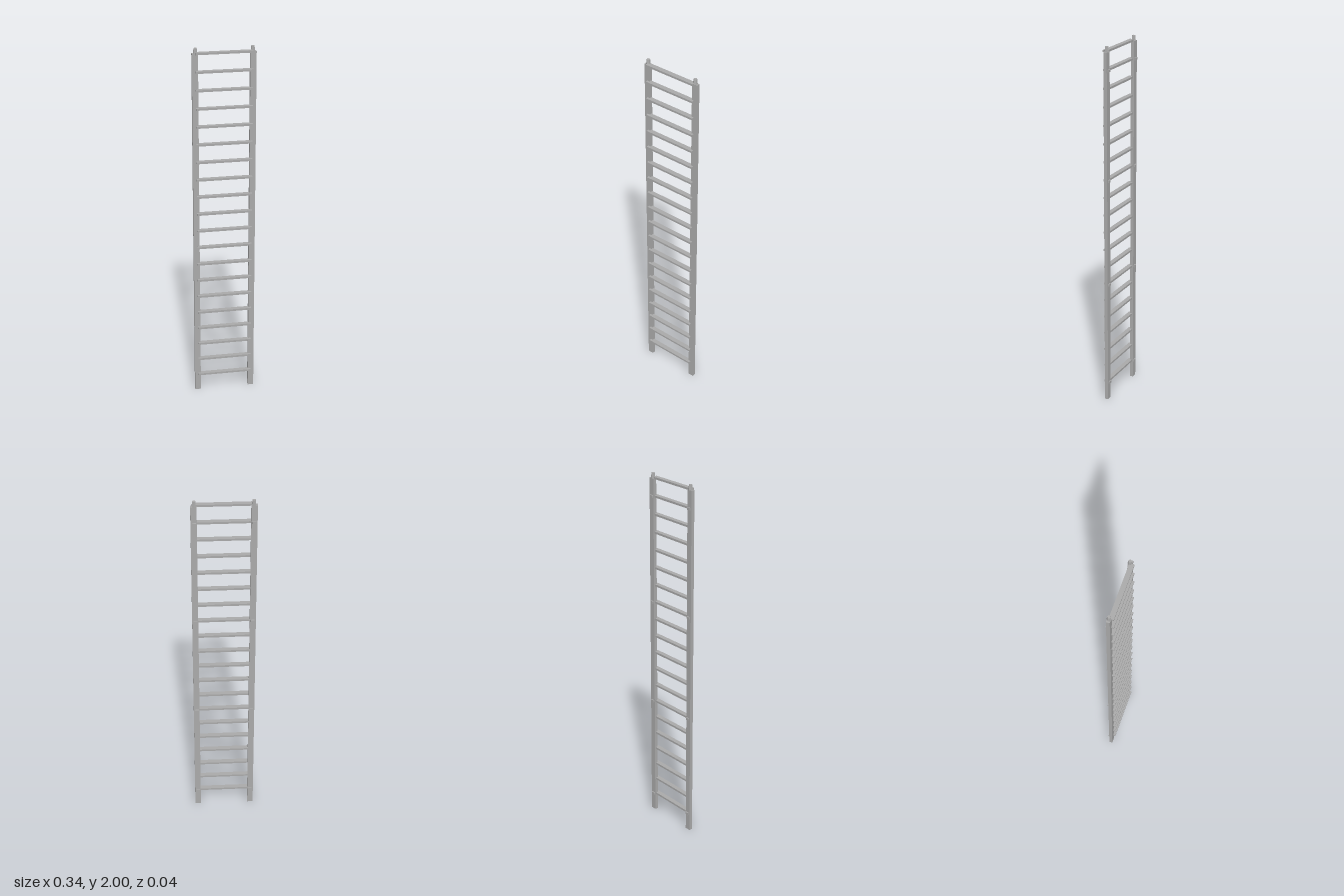
import * as THREE from 'three';

export function createModel() {
  const group = new THREE.Group();
  group.name = 'ladder';
  const steel = new THREE.MeshStandardMaterial({ color: 0xaaaaaa });
  steel.name = 'grey steel';

  const RUNGS = 20, FIRST = 0.102, STEP = 0.0985;
  const RAIL_X = 0.1525, RAIL_Z = -0.005, RAIL_TOP = 1.972;

  const add = (name, geometry, x, y, z) => {
    const mesh = new THREE.Mesh(geometry, steel);
    mesh.name = name;
    mesh.position.set(x, y, z);
    group.add(mesh);
  };

  const railGeo = new THREE.BoxGeometry(0.032, RAIL_TOP, 0.019);
  const bracketGeo = new THREE.BoxGeometry(0.02, 0.013, 0.016);
  const rungGeo = new THREE.BoxGeometry(0.3, 0.011, 0.026);
  // Six-sided tapered pin, flat faces
  const pinGeo = new THREE.CylinderGeometry(0.009, 0.0125, 0.03, 6).toNonIndexed();
  pinGeo.computeVertexNormals();

  for (const side of [1, -1]) {
    const name = side > 0 ? 'left' : 'right';
    add(name + 'Rail', railGeo, side * RAIL_X, RAIL_TOP / 2, RAIL_Z);
    add(name + 'TopPin', pinGeo, side * 0.15, 1.985, RAIL_Z);
    // Small brackets on the back, at every sixth rung
    for (let i = 0; i < RUNGS; i += 6) {
      add(name + 'Bracket', bracketGeo, side * 0.151, FIRST + i * STEP, -0.013);
    }
  }

  // Flat rungs standing proud of the rails at the front
  for (let i = 0; i < RUNGS; i++) add('rung', rungGeo, 0, FIRST + i * STEP, 0.005);

  return group;
}
